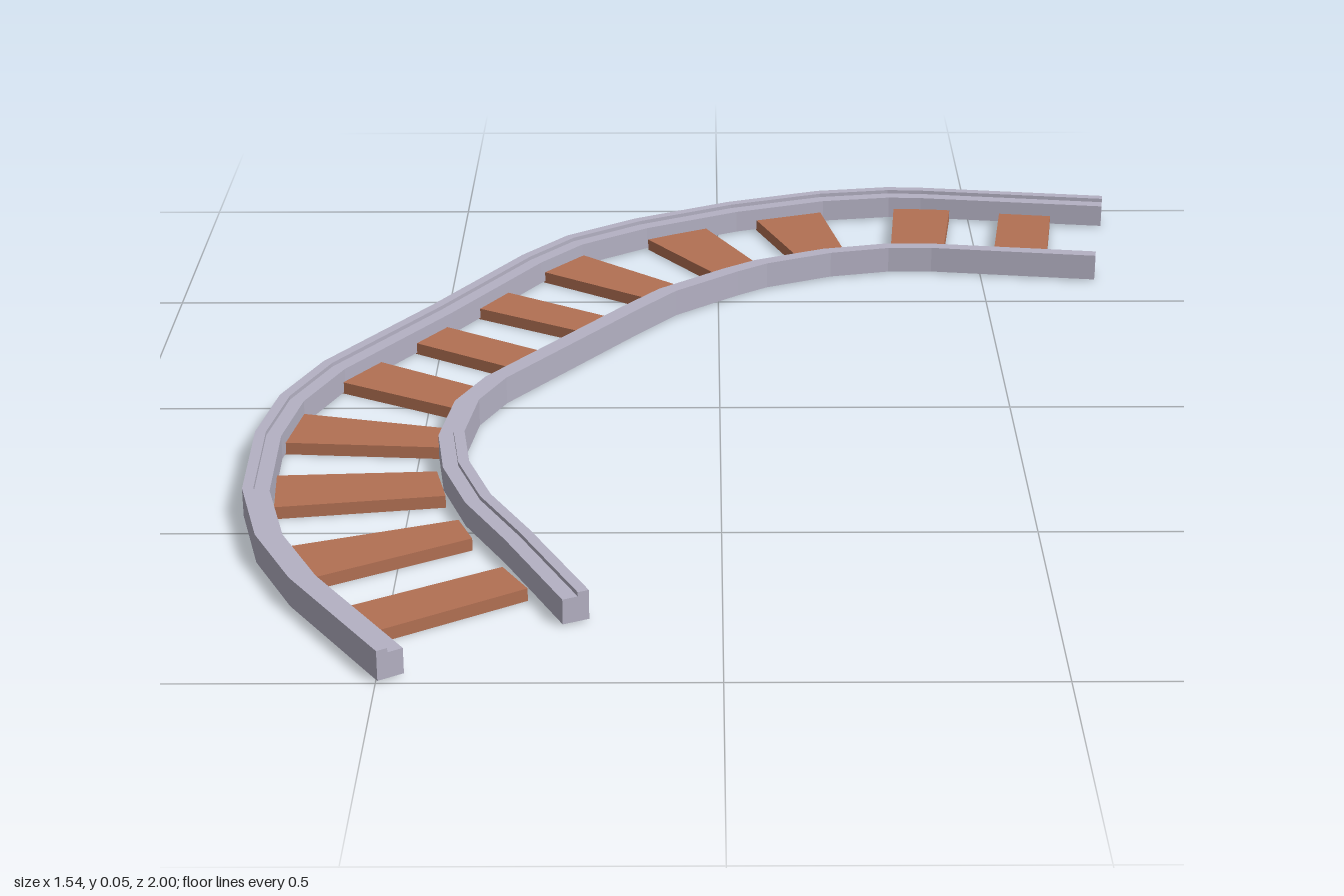
import * as THREE from 'three';

// Rail section: width, lip width, and heights of base, ledge and lip
const W = 0.043, LIP = 0.018, BASE = 0.003, LEDGE = 0.044, TOP = 0.051;

// Outside edge of the outer rail and track-side edge of the inner rail, as x, z
const OUTER_PATH = [
  [0.766, -0.945], [0.41, -0.996], [0.34, -1], [0.2, -0.978], [0.02, -0.913], [-0.16, -0.818],
  [-0.29, -0.722], [-0.37, -0.617], [-0.52, -0.36], [-0.69, -0.09], [-0.748, 0.06],
  [-0.77, 0.215], [-0.762, 0.44], [-0.72, 0.61], [-0.65, 0.76], [-0.497, 0.998],
];
const INNER_PATH = [
  [0.72, -0.648], [0.41, -0.693], [0.32, -0.693], [0.2, -0.665], [0.07, -0.605], [0.01, -0.56],
  [-0.11, -0.455], [-0.18, -0.36], [-0.405, -0.035], [-0.45, 0.07], [-0.467, 0.215],
  [-0.45, 0.345], [-0.405, 0.48], [-0.335, 0.615], [-0.238, 0.822],
];

// Sleeper corners: two on the outer rail, two on the inner rail
const TIES = [
  [0.56, -0.925, 0.66, -0.91, 0.627, -0.66, 0.527, -0.675],
  [0.352, -0.955, 0.463, -0.948, 0.431, -0.69, 0.331, -0.69],
  [0.077, -0.89, 0.204, -0.94, 0.251, -0.675, 0.167, -0.645],
  [-0.135, -0.78, -0.024, -0.845, 0.093, -0.61, 0.019, -0.557],
  [-0.336, -0.608, -0.257, -0.693, -0.056, -0.515, -0.108, -0.448],
  [-0.458, -0.426, -0.405, -0.505, -0.177, -0.357, -0.22, -0.283],
  [-0.558, -0.257, -0.511, -0.336, -0.294, -0.193, -0.341, -0.114],
  [-0.664, -0.071, -0.611, -0.167, -0.405, -0.034, -0.442, 0.056],
  [-0.728, 0.193, -0.712, 0.071, -0.458, 0.135, -0.463, 0.214],
  [-0.712, 0.447, -0.722, 0.325, -0.463, 0.31, -0.442, 0.405],
  [-0.632, 0.706, -0.685, 0.595, -0.415, 0.495, -0.389, 0.563],
  [-0.516, 0.881, -0.569, 0.802, -0.336, 0.664, -0.294, 0.738],
];

// Sweep a section (sideways offset, height) along a path with mitred corners
function sweep(path, section) {
  const p = path.map(([x, z]) => new THREE.Vector2(x, z));
  const side = (i) => {
    const d = p[i + 1].clone().sub(p[i]).normalize();
    return new THREE.Vector2(d.y, -d.x);
  };
  const rings = p.map((c, i) => {
    const a = side(Math.max(i - 1, 0)), b = side(Math.min(i, p.length - 2));
    const m = a.clone().add(b).normalize();
    m.divideScalar(m.dot(a));
    return section.map(([o, y]) => [c.x + m.x * o, y, c.y + m.y * o]);
  });
  const pos = [], n = section.length;
  for (let k = 0; k < rings.length - 1; k++) {
    for (let i = 0; i < n; i++) {
      const j = (i + 1) % n;
      const a = rings[k][i], b = rings[k][j], c = rings[k + 1][j], d = rings[k + 1][i];
      pos.push(...a, ...b, ...c, ...a, ...c, ...d);
    }
  }
  // End caps
  const last = rings[rings.length - 1];
  const outline = section.map(([o, y]) => new THREE.Vector2(o, y));
  for (const [a, b, c] of THREE.ShapeUtils.triangulateShape(outline, [])) {
    pos.push(...rings[0][a], ...rings[0][c], ...rings[0][b]);
    pos.push(...last[a], ...last[b], ...last[c]);
  }
  const g = new THREE.BufferGeometry();
  g.setAttribute('position', new THREE.Float32BufferAttribute(pos, 3));
  g.computeVertexNormals();
  return g;
}

// Tapered plank with its underside on the ground
function plank(c) {
  const s = new THREE.Shape();
  s.moveTo(c[0], -c[1]);
  for (let i = 2; i < 8; i += 2) s.lineTo(c[i], -c[i + 1]);
  s.closePath();
  return new THREE.ExtrudeGeometry(s, { depth: 0.021, bevelEnabled: false }).rotateX(-Math.PI / 2);
}

export function createModel() {
  const steel = new THREE.MeshStandardMaterial({ name: 'steel', color: 0xb4b1c3 });
  const wood = new THREE.MeshStandardMaterial({ name: 'wood', color: 0xb27053 });
  const track = new THREE.Group();
  track.name = 'curvedTrack';
  const add = (name, geometry, material) => {
    const mesh = new THREE.Mesh(geometry, material);
    mesh.name = name;
    track.add(mesh);
  };

  // Rails, each with its raised lip on the side away from the sleepers
  add('outerRail', sweep(OUTER_PATH,
    [[0, BASE], [W, BASE], [W, LEDGE], [LIP, LEDGE], [LIP, TOP], [0, TOP]]), steel);
  add('innerRail', sweep(INNER_PATH,
    [[0, BASE], [W, BASE], [W, TOP], [W - LIP, TOP], [W - LIP, LEDGE], [0, LEDGE]]), steel);

  // Sleepers
  TIES.forEach((corners, i) => add(`sleeper${i + 1}`, plank(corners), wood));
  return track;
}
